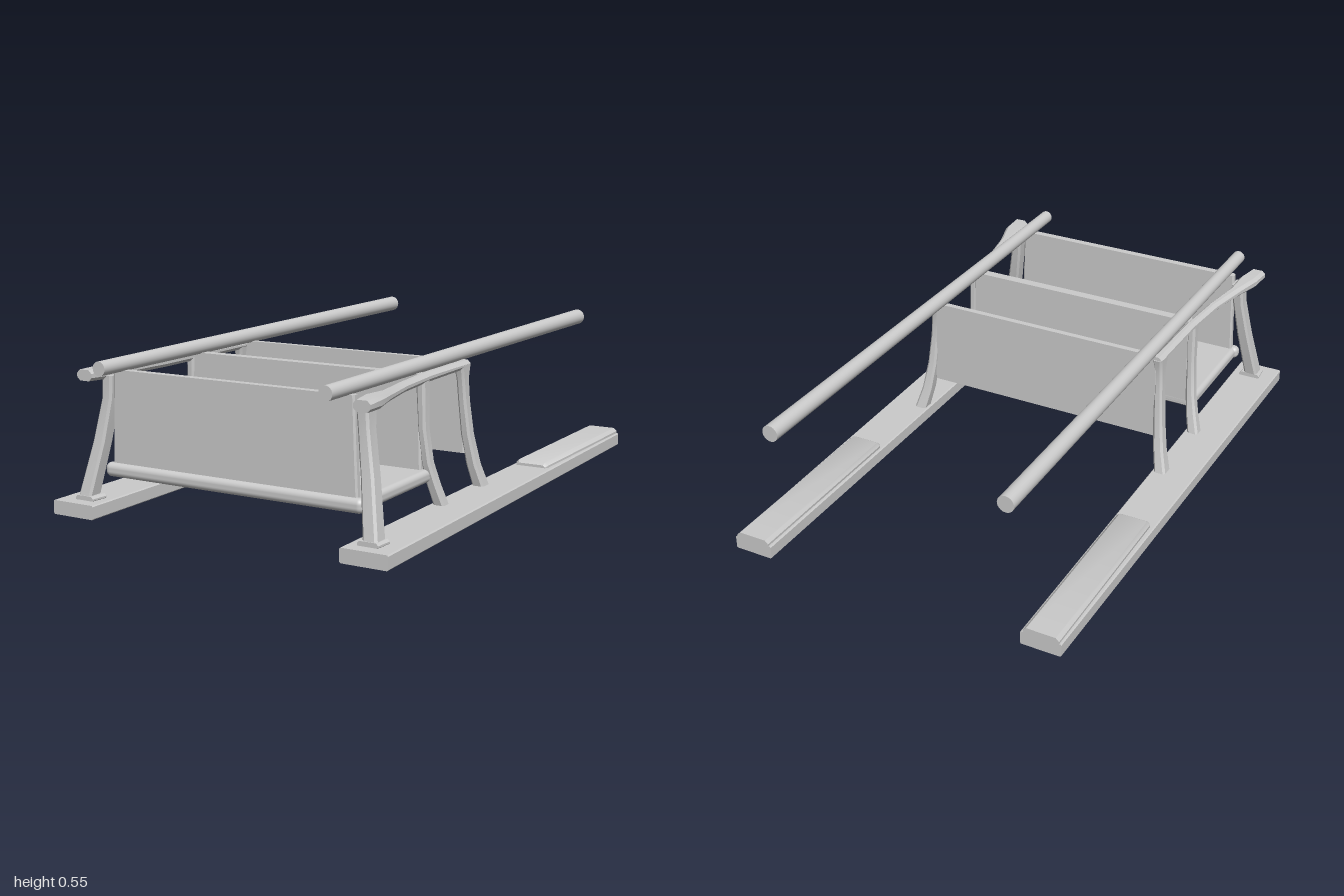
import * as THREE from 'three';
import { toCreasedNormals } from 'three/addons/utils/BufferGeometryUtils.js';
import { RoundedBoxGeometry } from 'three/addons/geometries/RoundedBoxGeometry.js';

const material = new THREE.MeshStandardMaterial({ color: 0xcccccc });

// Lofts chamfered rectangles [x, y, z, width, depth] along +y or +z
function loft(axis, sections, bevel = 0.008) {
  const pos = [], idx = [], n = 8;
  for (const [x, y, z, w, d] of sections) {
    const a = w / 2, b = d / 2, c = Math.min(bevel, a * 0.8, b * 0.8);
    const ring = [[a, c - b], [a, b - c], [a - c, b], [c - a, b], [-a, b - c], [-a, c - b], [c - a, -b], [a - c, -b]];
    for (const [u, v] of ring) {
      if (axis === 'y') pos.push(x + u, y, z - v);
      else pos.push(x + u, y + v, z);
    }
  }
  const last = (sections.length - 1) * n;
  for (let s = 0; s < last; s += n) {
    for (let i = 0; i < n; i++) {
      const j = (i + 1) % n;
      idx.push(s + i, s + j, s + n + j, s + i, s + n + j, s + n + i);
    }
  }
  for (let i = 1; i < n - 1; i++) idx.push(0, i + 1, i, last, last + i, last + i + 1);
  const g = new THREE.BufferGeometry();
  g.setAttribute('position', new THREE.Float32BufferAttribute(pos, 3));
  g.setIndex(idx);
  return toCreasedNormals(g, 0.6);
}

export function createModel() {
  const sled = new THREE.Group();
  sled.name = 'sled';
  const add = (name, geometry) => {
    const mesh = new THREE.Mesh(geometry, material);
    mesh.name = name;
    sled.add(mesh);
    return mesh;
  };

  for (const s of [-1, 1]) {
    const side = s > 0 ? 'left' : 'right';
    const mirror = (rows) => rows.map(([x, ...rest]) => [s * x, ...rest]);
    const part = (name, axis, rows, bevel) => add(side + name, loft(axis, mirror(rows), bevel));

    // Long flat runner with a raised foot board at the back
    part('Runner', 'z', [[0.561, 0.025, -1, 0.148, 0.05], [0.572, 0.025, 1, 0.172, 0.05]], 0.004);
    part('FootBoard', 'z', [
      [0.562, 0.054, -1, 0.13, 0.032],
      [0.562, 0.054, -0.285, 0.13, 0.032],
      [0.562, 0.05, -0.27, 0.115, 0.02],
    ], 0.012);

    // Round handle bar
    const bar = new THREE.CylinderGeometry(0.025, 0.03, 2, 24);
    bar.rotateX(Math.PI / 2);
    add(side + 'HandleBar', bar).position.set(s * 0.439, 0.524, 0);

    // Top rail, bowing outward to the front
    part('TopRail', 'z', [
      [0.466, 0.488, 0.1, 0.04, 0.03],
      [0.472, 0.488, 0.4, 0.036, 0.034],
      [0.486, 0.485, 0.6, 0.036, 0.034],
      [0.513, 0.484, 0.76, 0.042, 0.036],
      [0.53, 0.487, 0.87, 0.07, 0.042],
      [0.54, 0.487, 0.955, 0.062, 0.038],
    ], 0.012);

    // Splayed legs
    part('FrontLeg', 'y', [
      [0.567, 0.045, 0.925, 0.054, 0.062],
      [0.53, 0.25, 0.882, 0.048, 0.056],
      [0.505, 0.4, 0.862, 0.042, 0.056],
      [0.5, 0.48, 0.858, 0.044, 0.066],
    ]);
    part('MiddleLeg', 'y', [
      [0.522, 0.045, 0.385, 0.044, 0.045],
      [0.502, 0.12, 0.403, 0.04, 0.043],
      [0.486, 0.2, 0.42, 0.034, 0.042],
      [0.476, 0.32, 0.432, 0.03, 0.042],
      [0.472, 0.485, 0.434, 0.034, 0.046],
    ]);
    part('RearLeg', 'y', [
      [0.52, 0.045, 0.072, 0.046, 0.055],
      [0.499, 0.13, 0.093, 0.04, 0.05],
      [0.483, 0.24, 0.112, 0.036, 0.046],
      [0.474, 0.36, 0.124, 0.032, 0.044],
      [0.47, 0.44, 0.129, 0.032, 0.048],
      [0.468, 0.49, 0.13, 0.038, 0.07],
    ]);
    // Small tenon block under the front leg
    part('LegFoot', 'z', [[0.56, 0.055, 0.89, 0.085, 0.022], [0.56, 0.055, 0.955, 0.075, 0.022]]);
  }

  // Upright panels, slightly wider at the bottom
  const panel = (name, z, depth, bottom, wBottom, wTop) => add(name, loft('y', [
    [0, bottom, z, wBottom, depth],
    [0, 0.3, z, (wBottom + wTop) / 2, depth],
    [0, 0.503, z, wTop, depth],
  ], 0.006));
  panel('frontPanel', 0.873, 0.028, 0.15, 0.97, 0.945);
  panel('middlePanel', 0.431, 0.036, 0.14, 0.95, 0.93);
  panel('rearPanel', 0.114, 0.022, 0.17, 0.955, 0.93);

  // Seat floor with a rounded front edge, and the beam linking it to the back
  add('floor', new RoundedBoxGeometry(1.0, 0.046, 0.485, 3, 0.018)).position.set(0, 0.153, 0.655);
  add('frontRoll', new RoundedBoxGeometry(1.02, 0.05, 0.045, 4, 0.02)).position.set(0, 0.155, 0.882);
  add('centreBeam', new RoundedBoxGeometry(0.085, 0.056, 0.31, 3, 0.015)).position.set(0, 0.203, 0.272);

  return sled;
}
